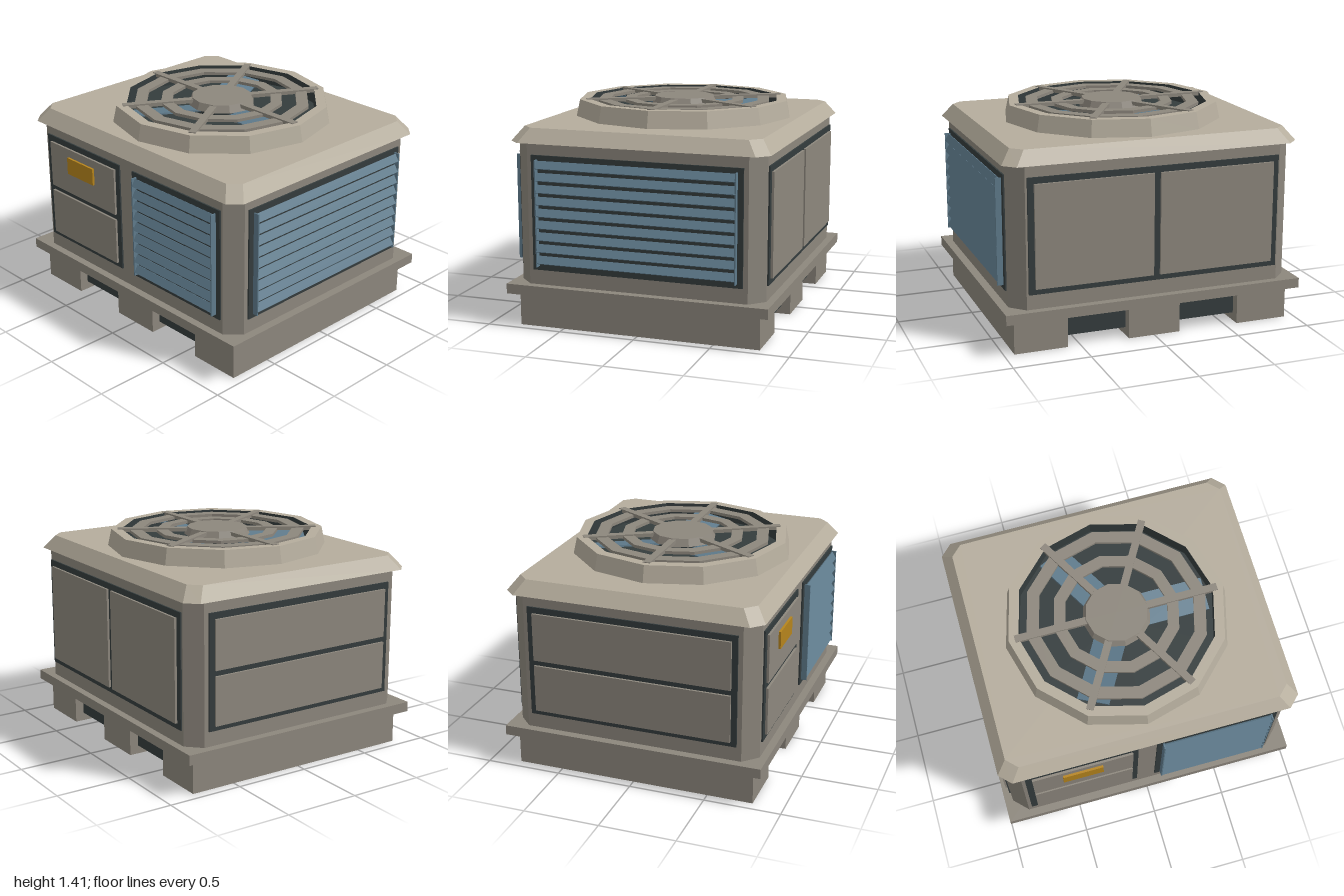
import * as THREE from 'three';

const material = (name, color, side = THREE.FrontSide) => {
  const m = new THREE.MeshStandardMaterial({ color, side, flatShading: true });
  m.name = name;
  return m;
};

export function createModel() {
  const casing = material('casing grey', 0x8d877d);
  const roofTone = material('roof beige', 0xb5ad9d);
  const dark = material('dark slate', 0x343c3d);
  const blue = material('louver blue', 0x5f7b8c);
  const amber = material('label amber', 0xb5841c);

  const model = new THREE.Group();
  model.name = 'rooftopUnit';

  const add = (parent, name, geometry, mat, x = 0, y = 0, z = 0) => {
    const mesh = new THREE.Mesh(geometry, mat);
    mesh.name = name;
    mesh.position.set(x, y, z);
    parent.add(mesh);
    return mesh;
  };
  // Box given by its limits on each axis
  const block = (parent, name, mat, [x0, x1], [y0, y1], [z0, z1]) =>
    add(parent, name, new THREE.BoxGeometry(x1 - x0, y1 - y0, z1 - z0), mat,
      (x0 + x1) / 2, (y0 + y1) / 2, (z0 + z1) / 2);

  // Upright prism with chamfered corners; the top may be drawn in
  const chamferedPrism = (w, d, c, y0, y1, topX = 1, topZ = 1) => {
    const s = new THREE.Shape([
      [w - c, -d], [w, c - d], [w, d - c], [w - c, d],
      [c - w, d], [-w, d - c], [-w, c - d], [c - w, -d],
    ].map(([x, y]) => new THREE.Vector2(x, y)));
    const g = new THREE.ExtrudeGeometry(s, { depth: y1 - y0, bevelEnabled: false });
    g.rotateX(-Math.PI / 2).translate(0, y0, 0);
    const p = g.attributes.position;
    for (let i = 0; i < p.count; i++) {
      if (p.getY(i) > (y0 + y1) / 2) p.setXYZ(i, p.getX(i) * topX, y1, p.getZ(i) * topZ);
    }
    g.computeVertexNormals();
    return g;
  };

  // Skids, dark filler between them, and base plate
  for (const x of [-0.76, 0, 0.76]) {
    block(model, 'skid', casing, [x - 0.175, x + 0.175], [0, 0.22], [-0.8, 0.8]);
  }
  for (const x of [-0.38, 0.38]) {
    block(model, 'skidFiller', dark, [x - 0.205, x + 0.205], [0.055, 0.22], [-0.74, 0.74]);
  }
  block(model, 'basePlate', casing, [-1, 1], [0.22, 0.285], [-0.865, 0.865]);

  // Cabinet and tapered roof
  add(model, 'cabinet', chamferedPrism(0.945, 0.815, 0.092, 0.285, 1.2), casing);
  add(model, 'roof', chamferedPrism(0.983, 0.847, 0.075, 1.2, 1.29, 0.931, 0.921), roofTone);

  // Each wall group faces its local +z, with z = 0 on the cabinet surface
  const wall = (name, x, z, turn) => {
    const g = new THREE.Group();
    g.name = name;
    g.position.set(x, 0, z);
    g.rotation.y = turn;
    model.add(g);
    return g;
  };
  const frame = (g, x0, x1) => block(g, 'frame', dark, [x0, x1], [0.383, 1.125], [-0.01, 0.01]);
  const panel = (g, xs, ys) => block(g, 'accessPanel', casing, xs, ys, [0, 0.025]);
  const louvers = (g, x0, x1) => {
    for (let i = 0; i < 9; i++) {
      const slat = block(g, 'slat', blue, [x0, x1], [-0.027, 0.027], [-0.006, 0.006]);
      slat.position.set((x0 + x1) / 2, 1.067 - i * 0.0765, 0.031);
      slat.rotation.x = -0.55;
    }
    for (const x of [x0, x1]) {
      block(g, 'louverEndPlate', blue, [x - 0.004, x + 0.004], [0.41, 1.098], [0, 0.048]);
    }
  };
  const lower = [0.415, 0.73], upper = [0.767, 1.085];

  const front = wall('frontWall', 0, 0.815, 0);
  frame(front, -0.83, -0.085);
  panel(front, [-0.787, -0.123], lower);
  panel(front, [-0.787, -0.123], upper);
  block(front, 'label', amber, [-0.59, -0.325], [0.915, 1.03], [0.025, 0.04]);
  frame(front, 0.04, 0.838);
  louvers(front, 0.08, 0.8);

  const left = wall('leftWall', 0.945, 0, Math.PI / 2);
  frame(left, -0.693, 0.693);
  louvers(left, -0.653, 0.653);

  const right = wall('rightWall', -0.945, 0, -Math.PI / 2);
  frame(right, -0.693, 0.693);
  panel(right, [-0.655, 0.655], lower);
  panel(right, [-0.655, 0.655], upper);

  const back = wall('backWall', 0, -0.815, Math.PI);
  frame(back, -0.84, 0.84);
  panel(back, [-0.8, -0.022], [0.42, 1.085]);
  panel(back, [0.022, 0.8], [0.42, 1.085]);

  // Twelve-sided rings turned from (radius, height) profiles
  const turned = (points) => {
    const g = new THREE.LatheGeometry(points.map(([r, y]) => new THREE.Vector2(r, y)), 12).toNonIndexed();
    g.computeVertexNormals();
    return g;
  };
  const fan = new THREE.Group();
  fan.name = 'fan';
  model.add(fan);
  add(fan, 'shroud', turned([[0.73, 1.29], [0.706, 1.4], [0.64, 1.4]]), roofTone);
  add(fan, 'shroudLining', turned([[0.64, 1.4], [0.64, 1.295], [0, 1.295]]), dark);

  // Three pitched blades
  for (let i = 0; i < 3; i++) {
    const arm = new THREE.Group();
    arm.name = 'bladeArm';
    arm.rotation.y = i * Math.PI * 2 / 3;
    fan.add(arm);
    const blade = add(arm, 'blade', new THREE.BoxGeometry(0.45, 0.012, 0.21), blue, 0.365, 1.335, 0);
    blade.rotation.x = 0.2;
  }

  // Guard: two rings, six spokes and the hub cap
  for (const [r0, r1] of [[0.335, 0.41], [0.508, 0.588]]) {
    add(fan, 'guardRing',
      turned([[r0, 1.375], [r1, 1.375], [r1, 1.395], [r0, 1.395], [r0, 1.375]]), casing);
  }
  for (let i = 0; i < 6; i++) {
    const arm = new THREE.Group();
    arm.name = 'spokeArm';
    arm.rotation.y = i * Math.PI / 3;
    fan.add(arm);
    block(arm, 'spoke', casing, [0.1, 0.665], [1.38, 1.405], [-0.024, 0.024]);
  }
  add(fan, 'hubCap', new THREE.CylinderGeometry(0.2, 0.22, 0.05, 12), casing, 0, 1.386, 0);
  add(fan, 'motor', new THREE.CylinderGeometry(0.16, 0.16, 0.07, 12), dark, 0, 1.33, 0);

  return model;
}
